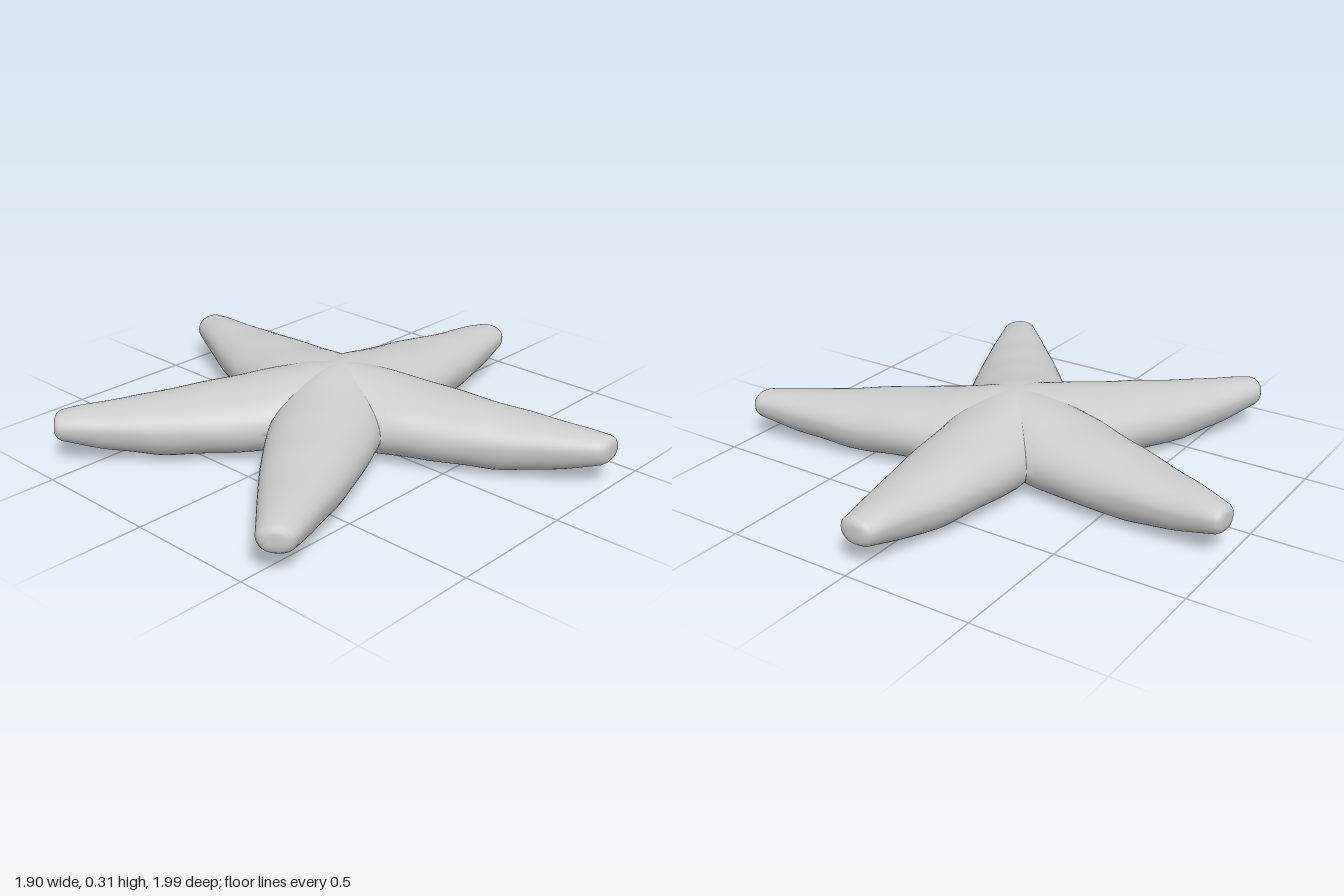
import * as THREE from 'three';
import { mergeVertices } from 'three/addons/utils/BufferGeometryUtils.js';

// Plan outline as [x, z]: notches between the arms, and the two corners of each blunt tip.
// Arm i lies between notch i and notch i + 1.
const centre = [-0.02, 0];
const notches = [[0.24, -0.22], [0.27, 0.19], [-0.13, 0.31], [-0.39, -0.01], [-0.15, -0.36]];
const tips = [
  [[0.95, -0.07], [0.955, 0.06]],
  [[0.395, 0.99], [0.275, 1.0]],
  [[-0.88, 0.625], [-0.96, 0.525]],
  [[-0.93, -0.575], [-0.845, -0.665]],
  [[0.13, -0.995], [0.25, -0.985]],
];

const mix = (a, b, t) => a + (b - a) * t;
const mix2 = (a, b, t) => [mix(a[0], b[0], t), mix(a[1], b[1], t)];

// Piecewise linear profile through [position, value] pairs
function profile(points, t) {
  for (let i = 1; i < points.length; i++) {
    const [t0, y0] = points[i - 1], [t1, y1] = points[i];
    if (t <= t1) return mix(y0, y1, (t - t0) / (t1 - t0));
  }
  return points[points.length - 1][1];
}

// Heights along an arm: 0 = centre, 1 = notch, 2 = tip
const ridge = [[0, 0.31], [0.3, 0.305], [1, 0.272], [1.25, 0.25], [1.65, 0.217], [1.85, 0.21], [2, 0.192]];
const middle = [[0, 0.13], [1.4, 0.13], [2, 0.15]];
const belly = [[0, 0.006], [1.5, 0.012], [1.75, 0.045], [2, 0.095]];

// Rows from centre to tip: position along the arm, and shrink factor that rounds the end
const rows = [];
for (let i = 0; i <= 12; i++) rows.push([Math.sin((i / 12) * Math.PI / 2), 1]);
for (let i = 1; i <= 20; i++) rows.push([1 + 0.965 * i / 20, 1]);
rows.push([1.985, 0.9], [1.997, 0.72], [2, 0.4], [2, 0]);

const COLS = 24;

// One skin (upper or lower) of one arm, reaching in to the centre
function addSkin(positions, indices, arm, upper) {
  const a = notches[arm], b = notches[(arm + 1) % 5];
  const base = positions.length / 3;
  for (const [t, shrink] of rows) {
    const u = Math.min(t, 1), v = Math.max(t - 1, 0);
    const left = t <= 1 ? mix2(centre, a, u) : mix2(a, tips[arm][0], v);
    const right = t <= 1 ? mix2(centre, b, u) : mix2(b, tips[arm][1], v);
    const mid = profile(middle, t);
    const rise = profile(upper ? ridge : belly, t) - mid;
    const bulge = 1 + 0.09 * Math.sin(Math.PI * v);
    for (let j = 0; j <= COLS; j++) {
      const f = j === 0 ? -1 : j === COLS ? 1 : -Math.cos(Math.PI * j / COLS);
      const s = Math.abs(f) * u;
      const round = Math.sqrt(Math.max(0, 1 - Math.pow(s, upper ? 2 : 2.6)));
      const [x, z] = mix2(left, right, 0.5 + 0.5 * f * shrink * bulge);
      // gentle unevenness of the skin
      const wave = 0.003 * Math.sin(17 * x + 3) * Math.sin(19 * z + 1);
      positions.push(x, mid + rise * round * shrink + wave, z);
    }
  }
  const w = COLS + 1;
  for (let i = 0; i < rows.length - 1; i++) {
    for (let j = 0; j < COLS; j++) {
      const p = base + i * w + j, q = p + 1, r = p + w, s = r + 1;
      if (upper) indices.push(p, q, r, q, s, r);
      else indices.push(p, r, q, q, r, s);
    }
  }
}

export function createModel() {
  const positions = [], indices = [];
  for (let arm = 0; arm < 5; arm++) {
    addSkin(positions, indices, arm, true);
    addSkin(positions, indices, arm, false);
  }
  let geometry = new THREE.BufferGeometry();
  geometry.setAttribute('position', new THREE.Float32BufferAttribute(positions, 3));
  geometry.setIndex(indices);
  geometry = mergeVertices(geometry, 1e-4); // weld the skins into one smooth body
  geometry.computeVertexNormals();
  geometry.computeBoundingBox();
  geometry.translate(0, -geometry.boundingBox.min.y, 0);

  const grey = new THREE.MeshStandardMaterial({ color: 0xcccccc });
  grey.name = 'light grey';
  const body = new THREE.Mesh(geometry, grey);
  body.name = 'starfishBody';

  const group = new THREE.Group();
  group.name = 'starfish';
  group.add(body);
  return group;
}
